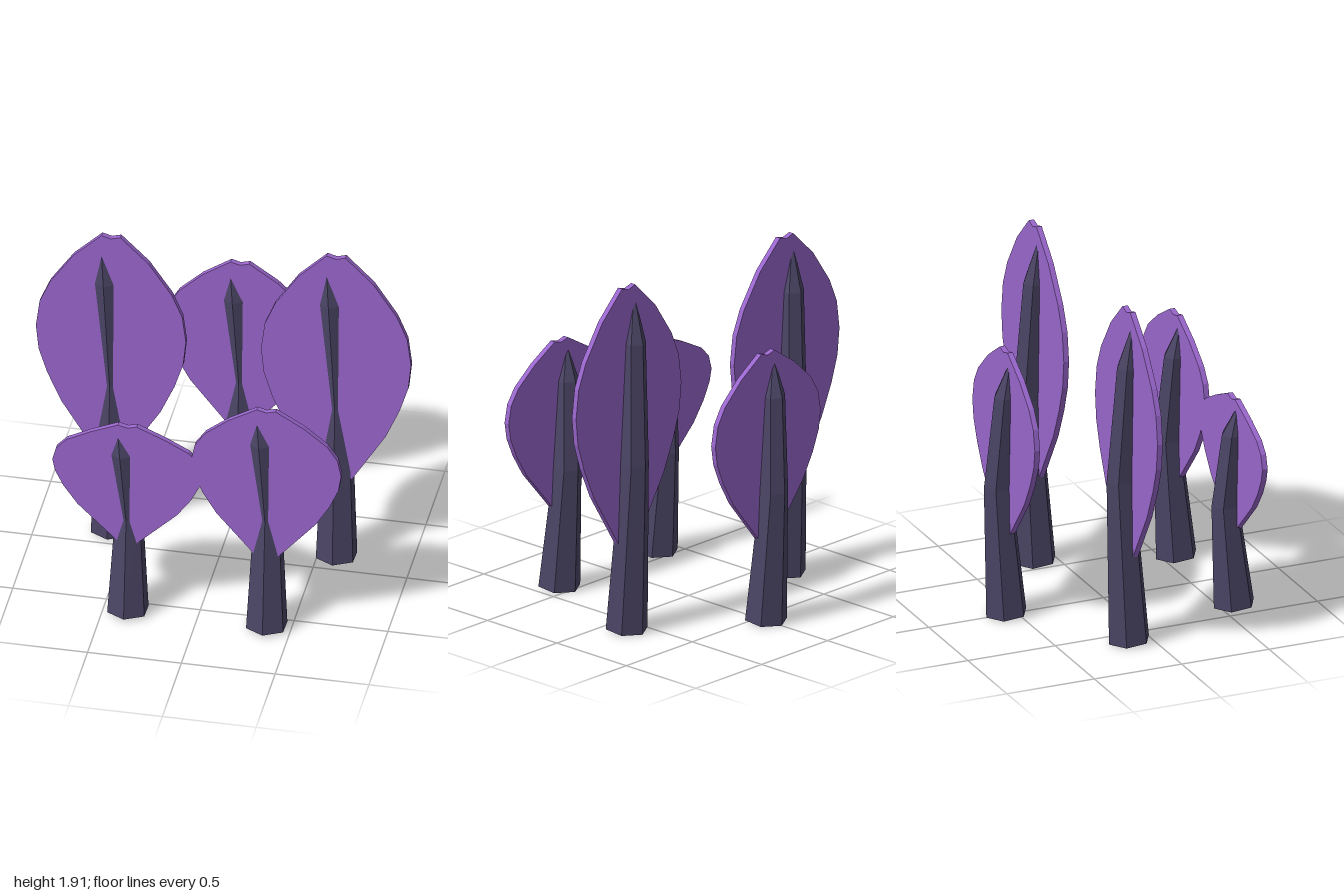
import * as THREE from 'three';

const trunkMat = new THREE.MeshStandardMaterial({ color: 0x4a4464 });
trunkMat.name = 'dark bark';
trunkMat.flatShading = true;
const leafMat = new THREE.MeshStandardMaterial({ color: 0x9966cc });
leafMat.name = 'purple leaf';
leafMat.flatShading = true;

// Trunk rings: height fraction, x offset, z offset, radius, tilt
const RINGS = [
  [0.008, 0, 0, 0.114, 0.08],
  [0.51, -0.005, -0.053, 0.077, 0],
  [0.865, -0.035, -0.02, 0.064, 0],
  [1, -0.055, 0, 0.004, 0],
];

// Half outline of the crown: x, y on the shortest tree, y on the tallest
const OUTLINE = [
  [0, 0.40, 0.38], [0.07, 0.465, 0.49], [0.265, 0.655, 0.81], [0.34, 0.76, 0.985],
  [0.385, 0.85, 1.13], [0.4, 0.92, 1.28], [0.38, 0.995, 1.44], [0.325, 1.055, 1.575],
  [0.2, 1.12, 1.765], [0.05, 1.185, 1.915], [0, 1.172, 1.9],
];

// Bent six-sided trunk, shaped by moving the rings of a cylinder
function makeTrunk(height) {
  const geo = new THREE.CylinderGeometry(1, 1, 3, 6, 3);
  const p = geo.attributes.position;
  for (let i = 0; i < p.count; i++) {
    const [f, dx, dz, r, tilt] = RINGS[Math.round(p.getY(i) + 1.5)];
    const z = p.getZ(i) * r;
    const base = f === RINGS[0][0] ? 0.013 : f * height;
    p.setXYZ(i, p.getX(i) * r + dx, base + z * tilt, z + dz);
  }
  const flat = geo.toNonIndexed();
  flat.computeVertexNormals();
  const mesh = new THREE.Mesh(flat, trunkMat);
  mesh.name = 'trunk';
  return mesh;
}

// Flat leaf-shaped crown with a notched top
function makeCrown(top) {
  const t = (top - 1.185) / 0.73;
  const right = OUTLINE.map(([x, a, b]) => new THREE.Vector2(x, a + (b - a) * t));
  const left = right.slice(1, -1).reverse().map((v) => new THREE.Vector2(-v.x, v.y));
  const geo = new THREE.ExtrudeGeometry(new THREE.Shape([...right, ...left]), {
    depth: 0.03, bevelEnabled: false,
  });
  geo.translate(0, 0, -0.015);
  const mesh = new THREE.Mesh(geo, leafMat);
  mesh.name = 'crown';
  return mesh;
}

export function createModel() {
  const model = new THREE.Group();
  model.name = 'grove';
  // name, x, z, crown top
  const trees = [
    ['rightTallTree', -0.6, -0.123, 1.88],
    ['leftTallTree', 0.6, -0.123, 1.915],
    ['backTree', 0, -0.557, 1.5],
    ['rightFrontTree', -0.37, 0.58, 1.185],
    ['leftFrontTree', 0.37, 0.58, 1.383],
  ];
  for (const [name, x, z, top] of trees) {
    const tree = new THREE.Group();
    tree.name = name;
    tree.add(makeTrunk(top * 0.966), makeCrown(top));
    tree.position.set(x, 0, z);
    model.add(tree);
  }
  return model;
}
